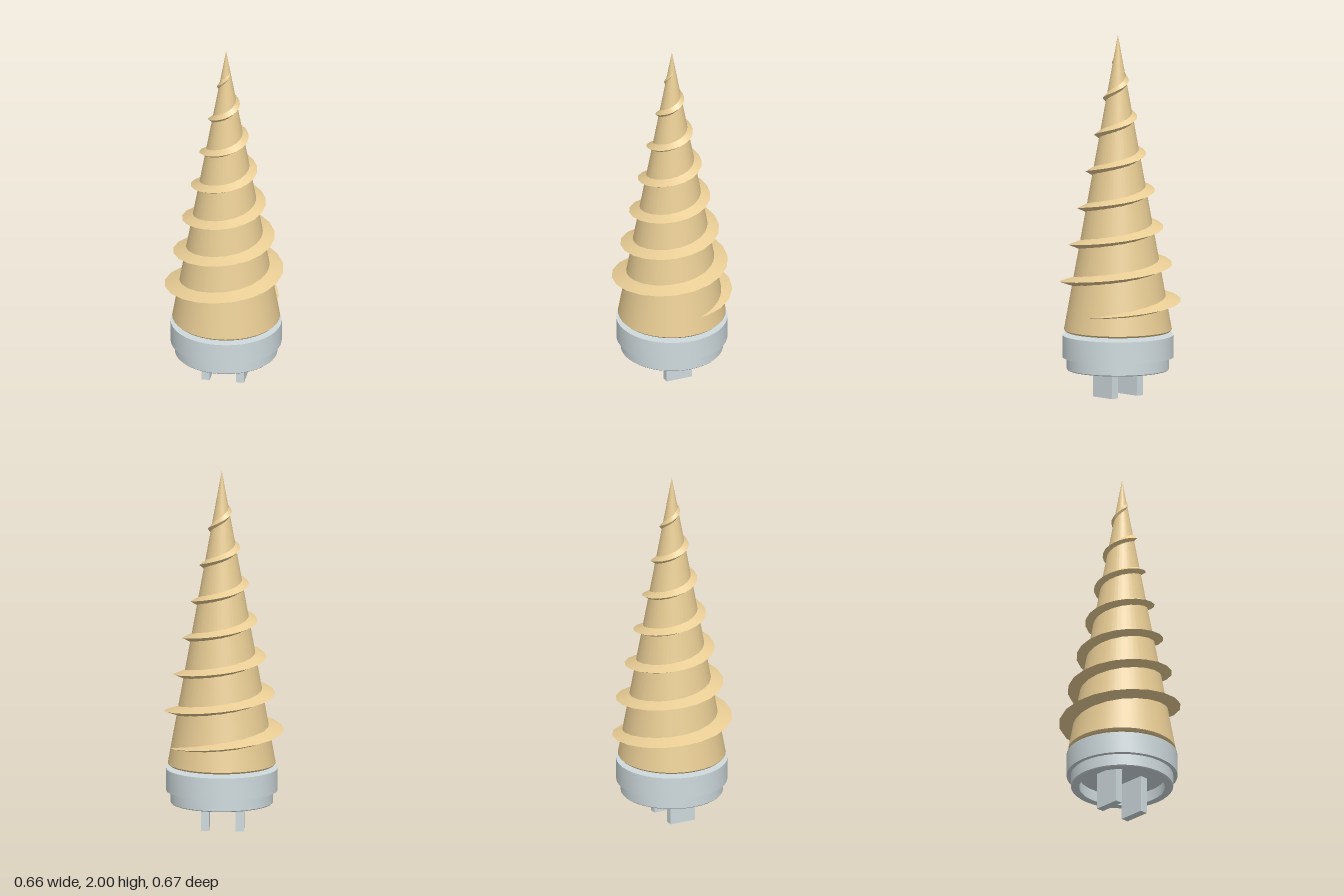
import * as THREE from 'three';
import { toCreasedNormals } from 'three/addons/utils/BufferGeometryUtils.js';

const tan = new THREE.MeshStandardMaterial({ color: 0xe8cc94 });
const steel = new THREE.MeshStandardMaterial({ color: 0xcfdadd });

const APEX = 2, CONE_BASE = 0.37, CONE_R = 0.296;
const coneRadius = (y) => CONE_R * (APEX - y) / (APEX - CONE_BASE);

function lathe(points, segments, crease = 0.6) {
  const g = new THREE.LatheGeometry(points.map(([r, y]) => new THREE.Vector2(r, y)), segments);
  return toCreasedNormals(g, crease);
}

// Sharp-edged thread winding up the cone, fading in and out at its ends
function threadGeometry() {
  const turns = 7, perTurn = 20, start = 0.455, pitch = 0.2035;
  const pos = [], index = [];
  const count = turns * perTurn;
  for (let i = 0; i <= count; i++) {
    const t = i / perTurn, a = t * Math.PI * 2;
    const yc = start + pitch * t, r = coneRadius(yc);
    const ramp = Math.min(1, t / 0.4, (turns - t) / 0.4);
    const fade = 1 - (1 - ramp) ** 2;
    const half = 0.034 * fade * (1 - 0.3 * t / turns);
    // section: upper root, outer edge, lower root
    const section = [[r * 0.92, half], [r * (0.97 + 0.33 * fade), 0], [r * 0.92, -half]];
    for (const [rad, dy] of section) pos.push(Math.cos(a) * rad, yc + dy, -Math.sin(a) * rad);
    if (i === count) continue;
    for (let k = 0; k < 2; k++) {
      const p = i * 3 + k, q = p + 3;
      index.push(p, p + 1, q + 1, p, q + 1, q);
    }
  }
  const g = new THREE.BufferGeometry();
  g.setAttribute('position', new THREE.Float32BufferAttribute(pos, 3));
  g.setIndex(index);
  return toCreasedNormals(g, 0.9);
}

export function createModel() {
  const model = new THREE.Group();
  model.name = 'drillBit';
  const add = (name, geometry, material) => {
    const mesh = new THREE.Mesh(geometry, material);
    mesh.name = name;
    mesh.position.set(0.01, 0, 0.006);
    model.add(mesh);
    return mesh;
  };

  // Drill cone with a small bevel at its base
  add('cone', lathe([[0, 0.36], [0.286, 0.36], [CONE_R, CONE_BASE], [0, APEX]], 40), tan);
  const thread = add('spiralThread', threadGeometry(), tan);
  thread.material = tan.clone();
  thread.material.side = THREE.DoubleSide;

  // Neck joining cone and collar
  add('neck', new THREE.CylinderGeometry(0.08, 0.08, 0.06, 32).translate(0, 0.345, 0), steel);

  // Stepped collar, hollow from below
  add('collar', lathe([
    [0, 0.21], [0.235, 0.21], [0.235, 0.147], [0.276, 0.147], [0.281, 0.152],
    [0.281, 0.217], [0.305, 0.217], [0.305, 0.34], [0, 0.34],
  ], 40), steel);

  // Two flat prongs
  for (const [name, x] of [['leftProng', 0.09], ['rightProng', -0.1]]) {
    add(name, new THREE.BoxGeometry(0.045, 0.22, 0.15).translate(x, 0.11, 0.004), steel);
  }
  return model;
}
